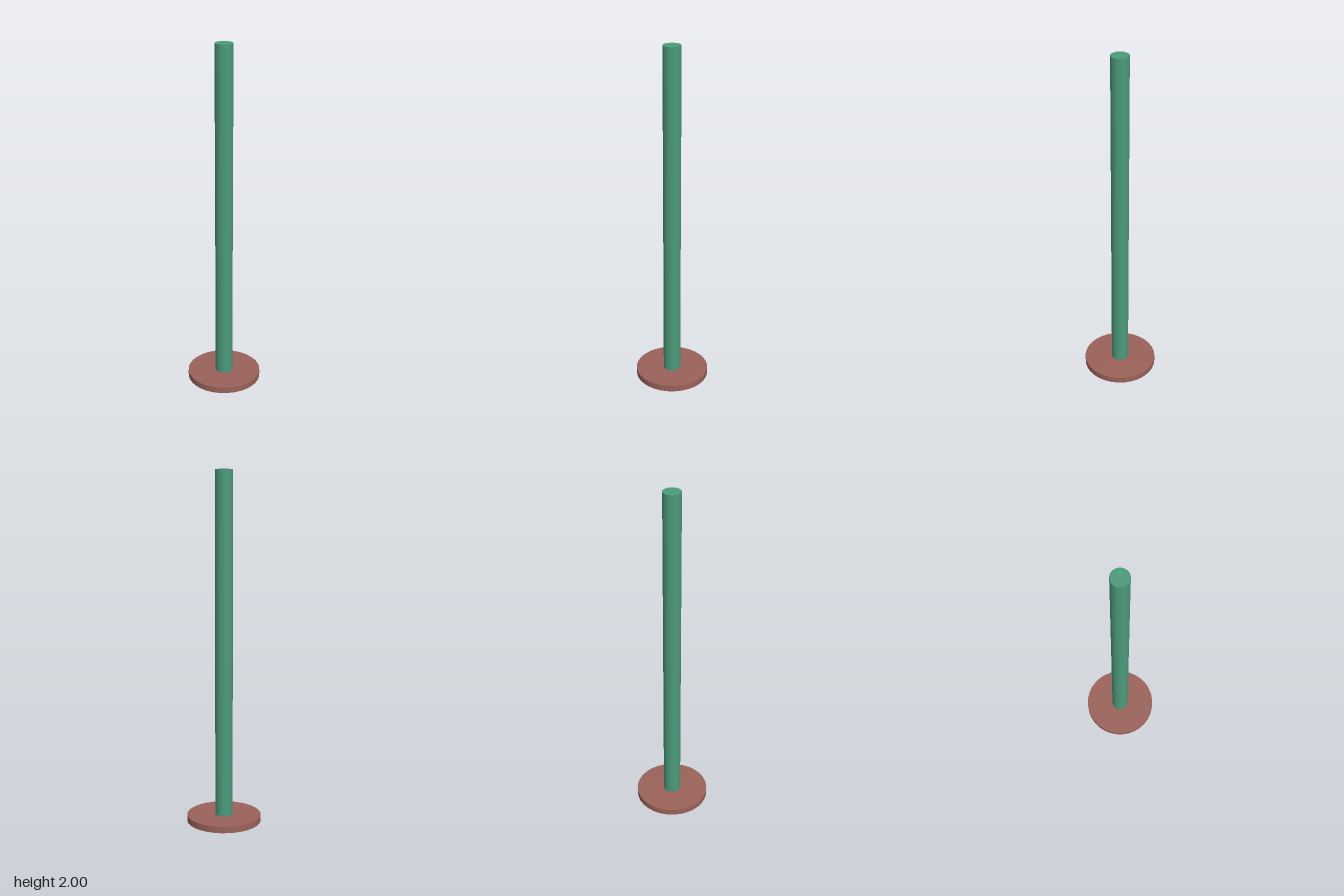
import * as THREE from 'three';

const BASE_HEIGHT = 0.037;
const TOTAL_HEIGHT = 2;

// Upright cylinder standing between two heights
function upright(name, radius, bottom, top, color) {
  const mesh = new THREE.Mesh(
    new THREE.CylinderGeometry(radius, radius, top - bottom, 32),
    new THREE.MeshStandardMaterial({ color })
  );
  mesh.name = name;
  mesh.position.y = (bottom + top) / 2;
  return mesh;
}

export function createModel() {
  const model = new THREE.Group();
  model.name = 'postOnBase';
  // Round foot plate
  model.add(upright('base', 0.213, 0, BASE_HEIGHT, 0x9a625a));
  // Tall post rising from the plate
  model.add(upright('post', 0.05, BASE_HEIGHT, TOTAL_HEIGHT, 0x4c9a7a));
  return model;
}
